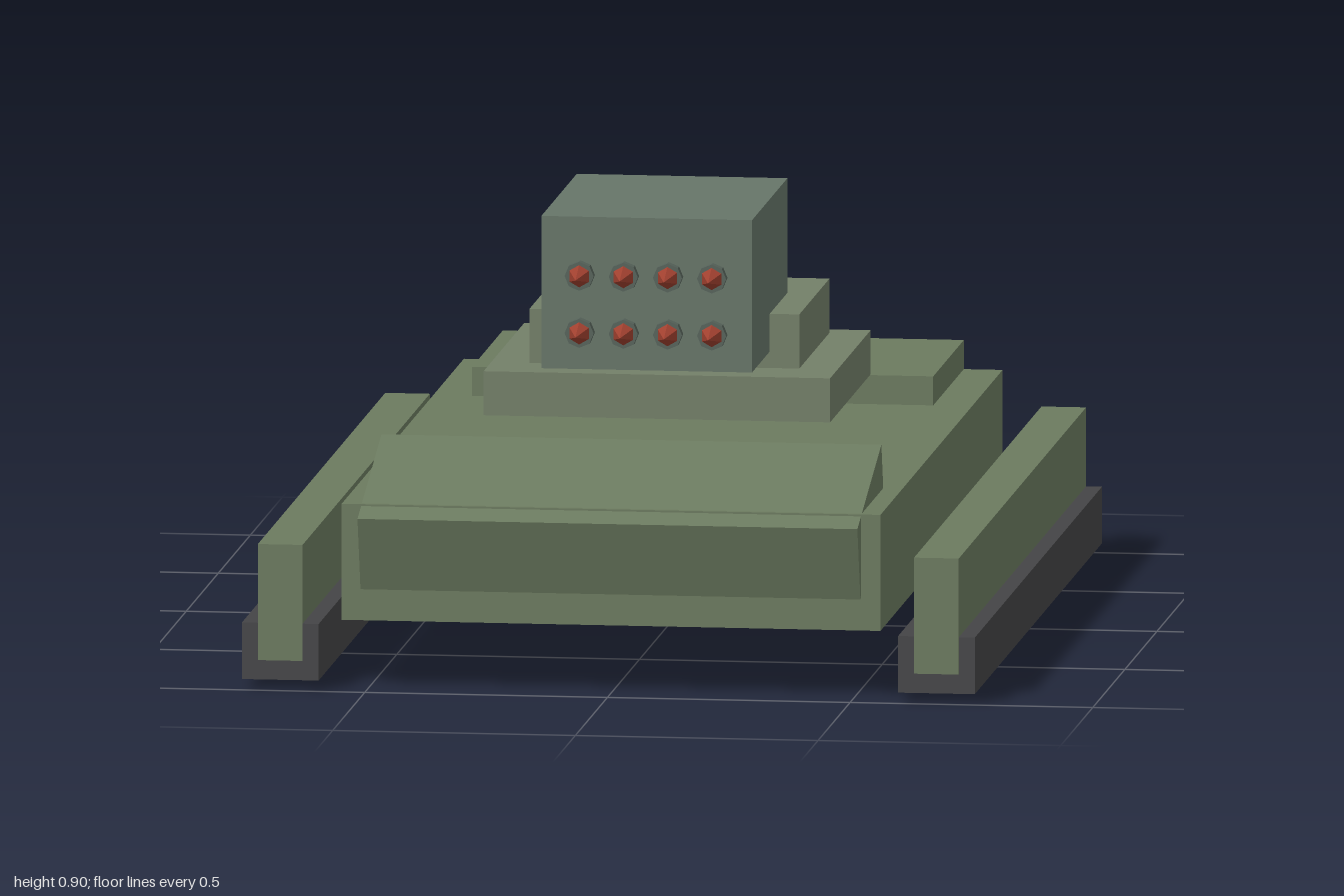
import * as THREE from 'three';

const mat = (color) => new THREE.MeshStandardMaterial({ color, flatShading: true });

export function createModel() {
  const model = new THREE.Group();
  const hullMat = mat(0x6b7a5f);
  const turretMat = mat(0x737f68);
  const launcherMat = mat(0x667568);
  const tubeMat = mat(0x56635a);
  const trackMat = mat(0x444446);
  const wheelMat = mat(0x333335);
  const tipMat = mat(0xa0402f);

  const add = (name, geometry, material, parent = model) => {
    const mesh = new THREE.Mesh(geometry, material);
    mesh.name = name;
    parent.add(mesh);
    return mesh;
  };
  // Box given by its limits on each axis
  const box = (name, [x0, x1], [y0, y1], [z0, z1], material, parent) => {
    const mesh = add(name, new THREE.BoxGeometry(x1 - x0, y1 - y0, z1 - z0), material, parent);
    mesh.position.set((x0 + x1) / 2, (y0 + y1) / 2, (z0 + z1) / 2);
    return mesh;
  };

  // Hull, raised rear deck and tilted front plate
  box('hull', [-0.555, 0.555], [0.14, 0.38], [-0.962, 0.943], hullMat);
  box('rearDeck', [-0.475, 0.475], [0.3, 0.44], [-0.963, -0.485], hullMat);
  const plate = add('frontPlate', new THREE.BoxGeometry(1.03, 0.16, 0.392), hullMat);
  plate.position.set(0, 0.34, 0.789);
  plate.rotation.x = 0.3;

  // Running gear on both sides
  for (const side of [-1, 1]) {
    const gear = new THREE.Group();
    gear.name = side > 0 ? 'leftTrack' : 'rightTrack';
    gear.position.x = side * 0.676;
    model.add(gear);
    box('track', [-0.079, 0.079], [0.02, 0.137], [-0.999, 0.985], trackMat, gear);
    box('fender', [-0.046, 0.046], [0.06, 0.3], [-1, 0.986], hullMat, gear);
    // Eight-sided road wheels with a flat side down
    for (let i = 0; i < 6; i++) {
      const geo = new THREE.CylinderGeometry(0.078, 0.078, 0.063, 8);
      geo.rotateY(Math.PI / 8).rotateZ(Math.PI / 2);
      add('roadWheel', geo, wheelMat, gear).position.set(0, 0.072, 0.75 - i * 0.302);
    }
  }

  // Stepped turret, raised above the hull
  box('turretBase', [-0.357, 0.357], [0.455, 0.546], [-0.403, 0.23], turretMat);
  box('turretTop', [-0.278, 0.278], [0.546, 0.658], [-0.36, 0.112], turretMat);

  // Launcher box with a grid of tubes and pointed rockets
  const launcher = new THREE.Group();
  launcher.name = 'launcher';
  model.add(launcher);
  box('launcherBox', [-0.217, 0.217], [0.58, 0.895], [-0.165, 0.388], launcherMat, launcher);
  for (const y of [0.657, 0.775]) {
    for (let i = 0; i < 4; i++) {
      const x = (i - 1.5) * 0.091;
      const tube = new THREE.CylinderGeometry(0.03, 0.03, 0.595, 8).rotateX(Math.PI / 2);
      add('launchTube', tube, tubeMat, launcher).position.set(x, y, 0.111);
      const tip = new THREE.ConeGeometry(0.024, 0.06, 6).rotateX(Math.PI / 2);
      add('rocketTip', tip, tipMat, launcher).position.set(x, y, 0.436);
    }
  }
  return model;
}
